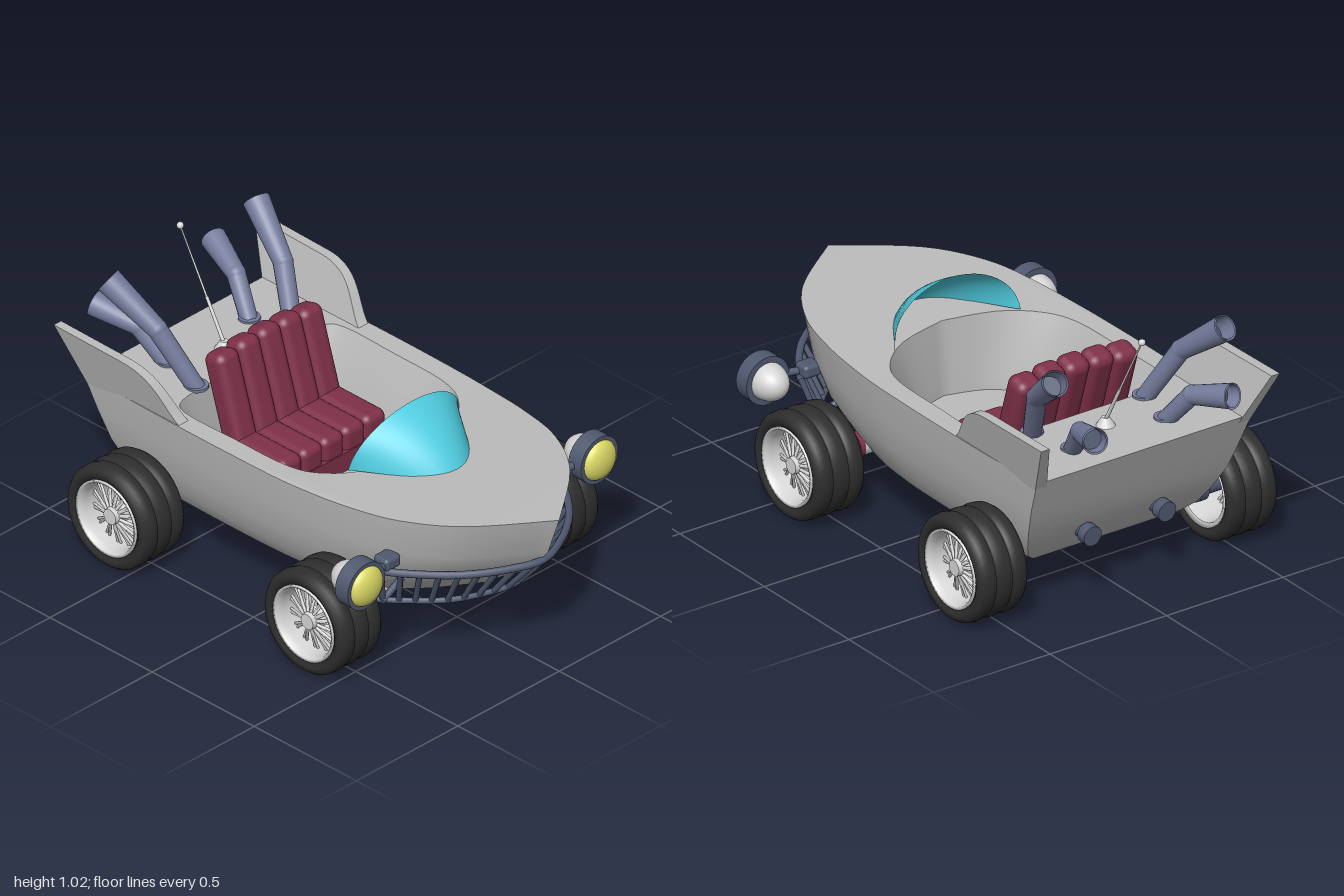
import * as THREE from 'three';
import { toCreasedNormals, mergeVertices } from 'three/addons/utils/BufferGeometryUtils.js';
import { RoundedBoxGeometry } from 'three/addons/geometries/RoundedBoxGeometry.js';

const mat = (name, color, side = THREE.FrontSide) => {
  const m = new THREE.MeshStandardMaterial({ color, side });
  m.name = name;
  return m;
};
const V = (x, y, z) => new THREE.Vector3(x, y, z);
const lerp = THREE.MathUtils.lerp;

export function createModel() {
  const paint = mat('grey paint', 0xbcbcbc, THREE.DoubleSide);
  const pale = mat('pale metal', 0xd6d6d6, THREE.DoubleSide);
  const slate = mat('slate metal', 0x505970);
  const pipeMetal = mat('blue grey pipe', 0x757c9c, THREE.DoubleSide);
  const rubber = mat('black rubber', 0x2e2e2e);
  const maroon = mat('maroon leather', 0x7e3048);
  const teal = mat('teal glass', 0x50cde0, THREE.DoubleSide);
  const yellow = mat('yellow lens', 0xdcd966);

  const car = new THREE.Group();
  car.name = 'car';
  const add = (parent, name, geo, material, x = 0, y = 0, z = 0) => {
    const m = new THREE.Mesh(geo, material);
    m.name = name;
    m.position.set(x, y, z);
    parent.add(m);
    return m;
  };
  // Straight round bar between two points
  const rod = (parent, name, a, b, r0, r1, material, open = false, sides = 16) => {
    const g = new THREE.CylinderGeometry(r1, r0, a.distanceTo(b), sides, 1, open);
    const m = add(parent, name, g, material);
    m.position.copy(a).lerp(b, 0.5);
    m.quaternion.setFromUnitVectors(V(0, 1, 0), b.clone().sub(a).normalize());
    return m;
  };
  // Surface between stacked rings of points
  const loft = (rings, closed) => {
    const n = rings[0].length, idx = [];
    for (let k = 0; k + 1 < rings.length; k++)
      for (let i = 0; i < (closed ? n : n - 1); i++) {
        const j = (i + 1) % n, a = k * n + i, b = k * n + j;
        idx.push(a, b, a + n, b, b + n, a + n);
      }
    const g = new THREE.BufferGeometry().setFromPoints(rings.flat());
    g.setIndex(idx);
    return g;
  };

  // Hull: one plan outline, narrowed and shortened level by level
  const deckY = z => 0.6 + 0.026 * THREE.MathUtils.smoothstep(z, 0.05, 0.9);
  const plan = new THREE.SplineCurve([[0.462, -0.87], [0.472, -0.4], [0.47, 0], [0.46, 0.2],
    [0.437, 0.4], [0.385, 0.6], [0.255, 0.8], [0, 1]].map(p => new THREE.Vector2(...p))).getPoints(35);
  const ring = (y, front, rear, w) => {
    const half = plan.map(p => {
      const z = lerp(rear, front, (p.y + 0.87) / 1.87);
      return V(p.x * w, y ?? deckY(p.y), z);
    });
    const other = half.slice(0, -1).reverse().map(p => V(-p.x, p.y, p.z));
    return [...half, ...other];
  };
  const hullRings = [ring(null, 1, -0.87, 1), ring(0.47, 0.945, -0.815, 0.965), ring(0.36, 0.86, -0.77, 0.92),
    ring(0.27, 0.72, -0.72, 0.85), ring(0.21, 0.64, -0.68, 0.78), ring(0.175, 0.57, -0.645, 0.68),
    ring(0.158, 0.5, -0.61, 0.52), ring(0.155, 0.45, -0.59, 0)];
  add(car, 'hull', toCreasedNormals(loft(hullRings, true), 0.6), paint);

  // Deck with cockpit opening
  const openHalf = new THREE.SplineCurve([[0, -0.515], [0.2, -0.515], [0.34, -0.505], [0.392, -0.44], [0.392, -0.2],
    [0.385, 0.05], [0.33, 0.18], [0.2, 0.28], [0, 0.33]].map(p => new THREE.Vector2(...p))).getPoints(32);
  const opening = [...openHalf, ...openHalf.slice(1, -1).reverse().map(p => new THREE.Vector2(-p.x, p.y))];
  const flip = p => new THREE.Vector2(p.x, -p.y);
  const deckShape = new THREE.Shape(hullRings[0].map(p => new THREE.Vector2(p.x, -p.z)));
  deckShape.holes.push(new THREE.Path(opening.map(flip)));
  const deck = new THREE.ShapeGeometry(deckShape).rotateX(-Math.PI / 2);
  const dp = deck.attributes.position;
  for (let i = 0; i < dp.count; i++) dp.setY(i, deckY(dp.getZ(i)));
  deck.computeVertexNormals();
  add(car, 'deck', deck, paint);

  // Cockpit tub and floor
  const tubRing = (y, s) => opening.map(p => V(p.x * s, y ?? deckY(p.y), -0.1 + (p.y + 0.1) * lerp(1, s, 0.12)));
  const floorRing = tubRing(0.32, 0.73);
  const tub = loft([floorRing, tubRing(0.36, 0.75), tubRing(0.5, 0.88), tubRing(null, 1)], true);
  tub.computeVertexNormals();
  add(car, 'cockpitWall', tub, paint);
  add(car, 'cockpitFloor', new THREE.ShapeGeometry(new THREE.Shape(floorRing.map(p => new THREE.Vector2(p.x, -p.z))))
    .rotateX(-Math.PI / 2), paint, 0, 0.32, 0);

  // Bubble windshield, pointed toward the bow
  const glassRings = [];
  for (let k = 0; k <= 10; k++) {
    const s = k / 10, up = lerp(s, Math.sin(s * Math.PI / 2), 0.3);
    const fwd = lerp(1 - s, Math.cos(s * Math.PI / 2), 0.3), row = [];
    for (let i = 0; i <= 32; i++) {
      const a = Math.PI * i / 32, h = Math.sin(a);
      row.push(V(-0.27 * Math.cos(a), 0.61 + 0.185 * h * up, 0.235 + h ** 2.4 * 0.27 * fwd + h * 0.045 * s));
    }
    glassRings.push(row);
  }
  const glass = loft(glassRings, false);
  glass.computeVertexNormals();
  add(car, 'windshield', glass, teal);

  // Ribbed bench seat
  const seat = new THREE.Group();
  seat.name = 'seat';
  car.add(seat);
  for (let i = -2; i <= 2; i++) {
    add(seat, 'seatCushionRib', new RoundedBoxGeometry(0.106, 0.12, 0.32, 4, 0.03), maroon, i * 0.103, 0.42, -0.255);
    const back = add(seat, 'seatBackRib', new RoundedBoxGeometry(0.106, 0.41, 0.1, 4, 0.035), maroon,
      i * 0.103, 0.59 - 0.004 * i * i, -0.395);
    back.rotation.x = -0.3;
  }
  add(seat, 'seatBase', new THREE.BoxGeometry(0.44, 0.08, 0.32), maroon, 0, 0.355, -0.25);

  // Whip antenna
  add(car, 'antennaBase', new THREE.CylinderGeometry(0.014, 0.036, 0.035, 20), pale, 0, 0.615, -0.64);
  const tip = V(0, 1.01, -0.855), foot = V(0, 0.62, -0.64), mid = foot.clone().lerp(tip, 0.4);
  rod(car, 'antennaLower', foot, mid, 0.007, 0.006, pale);
  rod(car, 'antennaUpper', mid, tip, 0.004, 0.003, pale);
  add(car, 'antennaBall', new THREE.SphereGeometry(0.013, 16, 12), pale, tip.x, tip.y, tip.z);

  // Tyre and rim profiles, turned about the axle
  const tyreProfile = [[0.143, -0.09], [0.165, -0.105], [0.186, -0.1], [0.197, -0.085], [0.2, -0.06], [0.196, -0.038],
    [0.19, -0.034], [0.196, -0.03], [0.2, 0], [0.196, 0.03], [0.19, 0.034], [0.196, 0.038], [0.2, 0.06],
    [0.197, 0.085], [0.186, 0.1], [0.165, 0.105], [0.143, 0.09], [0.143, -0.09]];
  const turn = pts => new THREE.LatheGeometry(pts.map(p => new THREE.Vector2(...p)), 48).rotateZ(-Math.PI / 2);
  const tyreGeo = turn(tyreProfile);
  const rimGeo = turn([[0.13, -0.09], [0.147, -0.1], [0.145, -0.08], [0.14, 0], [0.145, 0.08], [0.147, 0.1],
    [0.136, 0.098], [0.128, 0.07], [0.124, 0], [0.128, -0.07], [0.13, -0.09]]);

  function buildWheel(side, z) {
    const w = new THREE.Group();
    w.name = 'wheel';
    w.position.set(0.535, 0.205, z);
    side.add(w);
    add(w, 'tyre', tyreGeo, rubber);
    add(w, 'rim', rimGeo, pale);
    for (let i = 0; i < 14; i++) {
      const a = i * Math.PI / 7;
      for (const d of [-0.06, 0.06])
        rod(w, 'spoke', V(0.06, 0.03 * Math.cos(a), 0.03 * Math.sin(a)),
          V(0.03, 0.13 * Math.cos(a + d), 0.13 * Math.sin(a + d)), 0.006, 0.005, pale, false, 6);
    }
    rod(w, 'hubCap', V(0.02, 0, 0), V(0.08, 0, 0), 0.04, 0.03, pale);
    rod(w, 'hub', V(-0.19, 0, 0), V(0.04, 0, 0), 0.032, 0.032, slate);
    rod(w, 'hubFlange', V(-0.125, 0.005, 0), V(-0.09, 0.005, 0), 0.052, 0.052, slate);
    rod(side, 'axleCollar', V(0.325, 0.205, z), V(0.346, 0.205, z), 0.047, 0.047, maroon);
    rod(side, 'axleTube', V(0.2, 0.205, z), V(0.335, 0.205, z), 0.044, 0.044, pale);
  }

  // Bent, open exhaust stack
  function exhaust(side, a, b, c, r) {
    rod(side, 'exhaustLower', a, b, r * 0.68, r * 0.74, pipeMetal);
    add(side, 'exhaustElbow', new THREE.SphereGeometry(r * 0.76, 18, 12), pipeMetal, b.x, b.y, b.z);
    rod(side, 'exhaustUpper', b, c, r * 0.74, r, pipeMetal, true, 24);
    const inner = b.clone().lerp(c, 0.7);
    rod(side, 'exhaustBore', inner, inner.clone().lerp(c, 0.05), r * 0.86, r * 0.86, slate);
    rod(side, 'exhaustLip', inner, c, r * 0.8, r * 0.86, pipeMetal, true, 24);
    add(side, 'exhaustFlange', new THREE.CylinderGeometry(r * 0.85, r * 0.85, 0.012, 24), pipeMetal, a.x, 0.602, a.z);
  }

  // Tail fin: side profile, thicker at the foot and leaning outward
  const fin = new THREE.Shape();
  fin.moveTo(0.34, 0.57);
  fin.bezierCurveTo(0.47, 0.6, 0.44, 0.775, 0.64, 0.776);
  fin.lineTo(0.965, 0.782);
  fin.lineTo(0.857, 0.57);
  fin.closePath();
  let finGeo = new THREE.ExtrudeGeometry(fin, { depth: 1, bevelEnabled: false, curveSegments: 24 });
  const fp = finGeo.attributes.position;
  for (let i = 0; i < fp.count; i++) {
    const y = fp.getY(i), h = y - 0.6;
    fp.setXYZ(i, lerp(0.42 + h * 0.31, 0.467 + h * 0.25, fp.getZ(i)), y, -fp.getX(i));
  }
  finGeo.deleteAttribute('normal');
  finGeo.deleteAttribute('uv');
  finGeo = toCreasedNormals(mergeVertices(finGeo), 0.6);

  // Everything paired, left then mirrored right
  for (const s of [1, -1]) {
    const side = new THREE.Group();
    side.name = s > 0 ? 'leftSide' : 'rightSide';
    side.scale.x = s;
    car.add(side);
    add(side, 'tailFin', finGeo, paint);
    buildWheel(side, 0.375);
    buildWheel(side, -0.59);
    exhaust(side, V(0.24, 0.59, -0.535), V(0.31, 0.81, -0.66), V(0.365, 0.955, -0.845), 0.049);
    exhaust(side, V(0.2, 0.59, -0.715), V(0.24, 0.72, -0.82), V(0.295, 0.766, -0.985), 0.047);
    rod(side, 'tailpipe', V(0.16, 0.28, -0.65), V(0.16, 0.275, -0.75), 0.03, 0.03, slate);
    rod(side, 'tailpipeTip', V(0.16, 0.275, -0.745), V(0.16, 0.273, -0.785), 0.038, 0.038, slate);
    // Headlight
    const shell = new THREE.SphereGeometry(0.07, 28, 12, 0, Math.PI * 2, 0, Math.PI / 2).rotateX(-Math.PI / 2);
    add(side, 'headlightShell', shell.scale(1, 1, 1.35), pale, 0.575, 0.447, 0.57);
    rod(side, 'headlightRing', V(0.575, 0.447, 0.565), V(0.575, 0.447, 0.627), 0.092, 0.092, slate, false, 36);
    add(side, 'headlightLens', new THREE.SphereGeometry(0.077, 28, 18).scale(1, 1, 0.55), yellow, 0.575, 0.447, 0.622);
    rod(side, 'headlightArm', V(0.36, 0.44, 0.56), V(0.5, 0.445, 0.585), 0.014, 0.014, slate);
    add(side, 'headlightBracket', new RoundedBoxGeometry(0.075, 0.05, 0.07, 3, 0.015), slate, 0.405, 0.448, 0.56);
    rod(side, 'bumperBrace', V(0.29, 0.31, 0.52), V(0.4, 0.262, 0.53), 0.013, 0.013, slate);
  }

  // Basket bumper: two curved rails joined by bars
  const rail = pts => new THREE.CatmullRomCurve3([...pts.map(p => V(-p[0], p[1], p[2])),
    ...pts.slice(0, -1).reverse().map(p => V(...p))]);
  const upper = rail([[0.455, 0.42, 0.53], [0.41, 0.42, 0.61], [0.27, 0.424, 0.78], [0.13, 0.426, 0.875], [0, 0.427, 0.92]]);
  const lower = rail([[0.41, 0.262, 0.5], [0.35, 0.262, 0.57], [0.23, 0.264, 0.69], [0.11, 0.265, 0.75], [0, 0.266, 0.78]]);
  add(car, 'bumperUpperRail', new THREE.TubeGeometry(upper, 48, 0.014, 10), slate);
  add(car, 'bumperLowerRail', new THREE.TubeGeometry(lower, 48, 0.011, 10), slate);
  for (let i = 0; i <= 17; i++) {
    const t = 0.03 + 0.94 * i / 17;
    rod(car, 'bumperBar', upper.getPointAt(t), lower.getPointAt(t), 0.011, 0.011, slate, false, 8);
  }
  return car;
}
